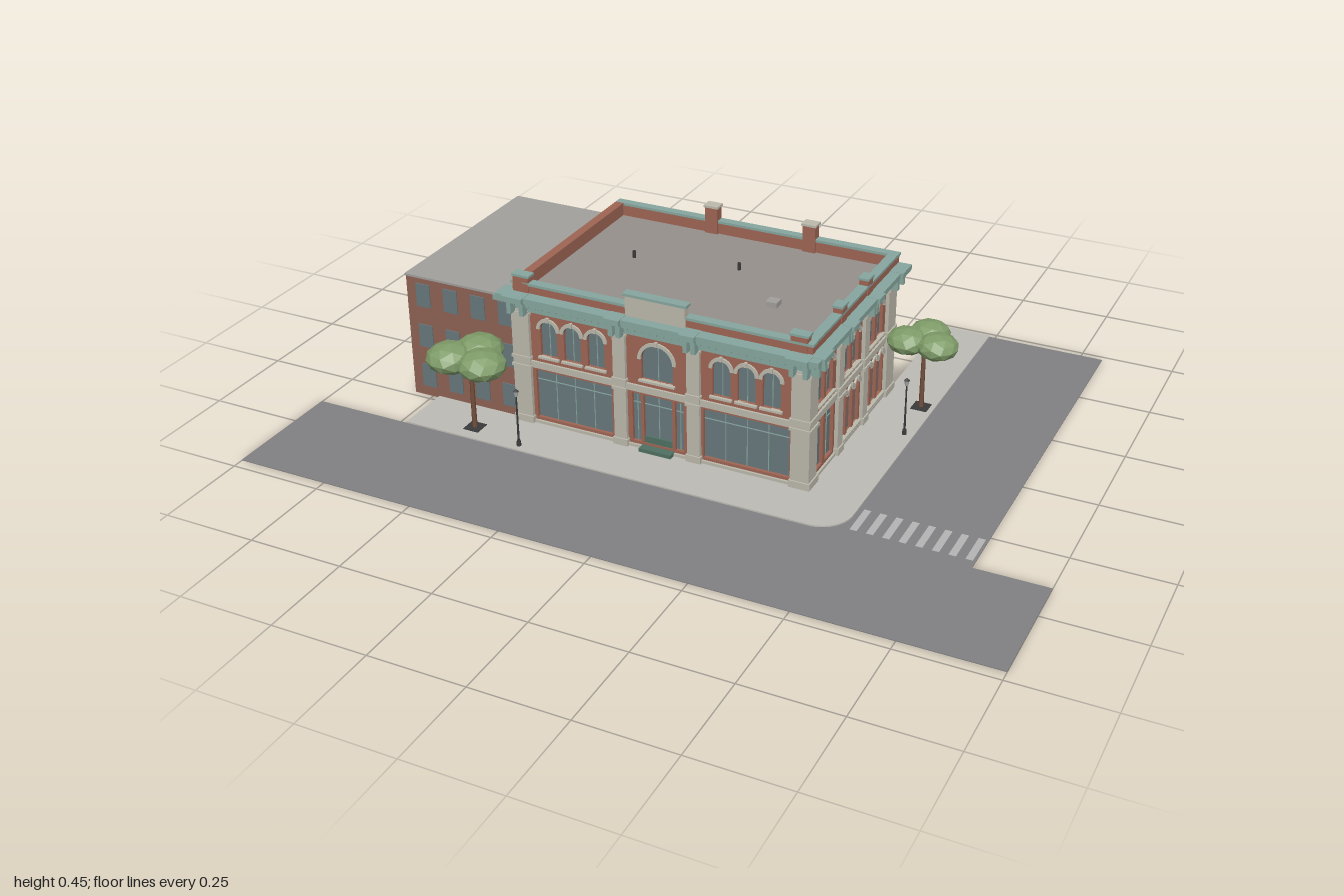
import * as THREE from 'three';

const mat = (color) => new THREE.MeshStandardMaterial({ color });
const M = {
  brick: mat(0x9e6553), sideBrick: mat(0x8c6153), stone: mat(0xbbb8ab), teal: mat(0x86a59e),
  glass: mat(0x68777b), door: mat(0x4f6f62), asphalt: mat(0x808082), paving: mat(0xbcbab4),
  paint: mat(0xb4b4b4), roof: mat(0x958f8b), sideRoof: mat(0xa09f9c), dark: mat(0x3a3a3a),
  trunk: mat(0x75513f), leaf: mat(0x7f9c69),
};
M.leaf.flatShading = true;

function add(parent, name, geo, material) {
  const mesh = new THREE.Mesh(geo, material);
  mesh.name = name;
  parent.add(mesh);
  return mesh;
}
// box given by its two extreme corners
function box(parent, name, material, x0, x1, y0, y1, z0, z1) {
  const m = add(parent, name, new THREE.BoxGeometry(x1 - x0, y1 - y0, z1 - z0), material);
  m.position.set((x0 + x1) / 2, (y0 + y1) / 2, (z0 + z1) / 2);
  return m;
}
function rod(parent, name, material, r0, r1, x, y0, y1, z, sides = 8) {
  add(parent, name, new THREE.CylinderGeometry(r1, r0, y1 - y0, sides), material).position.set(x, (y0 + y1) / 2, z);
}
const extrude = (shape, depth) => new THREE.ExtrudeGeometry(shape, { depth, bevelEnabled: false, curveSegments: 10 });

// rectangular or round-headed opening outline
function opening({ c, w, b, t, arch }) {
  const p = new THREE.Path();
  p.moveTo(c - w / 2, b);
  p.lineTo(c + w / 2, b);
  if (arch) p.absarc(c, t - w / 2, w / 2, 0, Math.PI, false);
  else { p.lineTo(c + w / 2, t); p.lineTo(c - w / 2, t); }
  p.closePath();
  return p;
}

// wall panel with openings, glass, mullions, sills and arch trims
function panel(parent, name, material, u0, u1, y0, y1, holes) {
  const s = new THREE.Shape([[u0, y0], [u1, y0], [u1, y1], [u0, y1]].map((p) => new THREE.Vector2(...p)));
  s.holes = holes.map(opening);
  add(parent, name, extrude(s, 0.012), material);
  for (const h of holes) {
    const { c, w, b, t, arch } = h;
    box(parent, 'windowGlass', M.glass, c - w / 2, c + w / 2, b, t, -0.001, 0.003);
    const bars = h.bars || 1;
    for (let i = 1; i <= bars; i++) {
      const u = c - w / 2 + (w * i) / (bars + 1);
      box(parent, 'mullion', M.teal, u - 0.001, u + 0.001, b, t, 0.003, 0.005);
    }
    if (!arch) {
      box(parent, 'transom', M.teal, c - w / 2, c + w / 2, t - 0.03, t - 0.028, 0.003, 0.005);
      continue;
    }
    const r = w / 2, y = t - r, ring = new THREE.Shape();
    ring.absarc(c, y, r + 0.009, 0, Math.PI, false);
    ring.absarc(c, y, r, Math.PI, 0, true);
    add(parent, 'archTrim', extrude(ring, 0.006), M.stone).position.z = 0.011;
    box(parent, 'keystone', M.stone, c - 0.004, c + 0.004, t, t + 0.012, 0.011, 0.02);
    box(parent, 'windowSill', M.stone, c - r - 0.006, c + r + 0.006, b - 0.006, b, 0.008, 0.02);
  }
}

// street facade: u runs along the wall, z points outward
function facade(name, piers, bays) {
  const g = new THREE.Group();
  g.name = name;
  const u0 = piers[0][0], u1 = piers[piers.length - 1][1];
  for (const [a, b] of piers) {
    box(g, 'stonePier', M.stone, a, b, 0, 0.33, -0.005, 0.022);
    box(g, 'pierBase', M.stone, a - 0.003, b + 0.003, 0, 0.025, 0, 0.026);
    for (const y of [0.165, 0.19, 0.315])
      box(g, 'pierBand', M.stone, a - 0.003, b + 0.003, y, y + 0.008, 0, 0.026);
    for (const u of [a + 0.007, b - 0.007])
      box(g, 'corniceBracket', M.teal, u - 0.006, u + 0.006, 0.322, 0.362, 0.01, 0.043);
    box(g, 'corniceBreak', M.teal, a - 0.004, b + 0.004, 0.362, 0.377, 0, 0.058);
  }
  bays.forEach((bay, i) => {
    const a = piers[i][1], b = piers[i + 1][0];
    panel(g, 'upperBay', M.brick, a, b, 0.185, 0.33,
      bay.top.map((c) => ({ c, w: bay.w, b: 0.205, t: 0.305, arch: true })));
    panel(g, 'lowerBay', M.brick, a, b, 0.012, 0.168, bay.low);
    box(g, 'floorBand', M.stone, a, b, 0.168, 0.186, 0, 0.018);
    box(g, 'baseCourse', M.stone, a, b, 0, 0.014, 0, 0.018);
  });
  // cornice mouldings with dentils
  box(g, 'frieze', M.teal, u0, u1, 0.326, 0.348, 0, 0.02);
  const n = Math.round((u1 - u0) / 0.02);
  for (let i = 0; i < n; i++) {
    const u = u0 + ((i + 0.5) * (u1 - u0)) / n;
    box(g, 'dentil', M.teal, u - 0.005, u + 0.005, 0.34, 0.35, 0.015, 0.028);
  }
  return g;
}

function tree(x, z, h, s) {
  const g = new THREE.Group();
  g.name = 'tree';
  g.position.set(x, 0, z);
  rod(g, 'trunk', M.trunk, 0.007, 0.005, 0, 0, h, 0, 6);
  box(g, 'treeGrate', M.dark, -0.022, 0.022, 0.005, 0.008, -0.022, 0.022);
  [[0, -0.045], [-0.047, 0.018], [0.047, 0.018]].forEach(([dx, dz], i) => {
    const crown = add(g, 'crown', new THREE.IcosahedronGeometry(0.064 * s, 1), M.leaf);
    crown.scale.y = 0.62;
    crown.rotation.y = i * 1.3;
    crown.position.set(dx * s, h + (i ? 0 : 0.004), dz * s);
  });
  return g;
}

function lamp(x, z) {
  const g = new THREE.Group();
  g.name = 'streetLamp';
  rod(g, 'lampBase', M.dark, 0.007, 0.005, x, 0.005, 0.02, z);
  rod(g, 'lampPost', M.dark, 0.003, 0.002, x, 0.02, 0.148, z);
  rod(g, 'lampGlobe', M.paint, 0.004, 0.007, x, 0.148, 0.162, z, 6);
  rod(g, 'lampCap', M.dark, 0.008, 0.002, x, 0.162, 0.168, z, 6);
  return g;
}

function ground(g) {
  const flat = (name, s, h, m) => { add(g, name, extrude(s, h), m).rotation.x = -Math.PI / 2; };
  const road = new THREE.Shape();
  [[-1, -0.72], [1, -0.72], [1, -0.387], [0.81, -0.387], [0.81, 0.73], [0.485, 0.73]]
    .forEach(([x, y], i) => (i ? road.lineTo(x, y) : road.moveTo(x, y)));
  road.absarc(0.4, -0.302, 0.085, 0, -Math.PI / 2, true);
  road.lineTo(-1, -0.387);
  flat('road', road, 0.002, M.asphalt);
  const walk = new THREE.Shape();
  [[0.34, 0.73], [0.34, -0.235], [-0.73, -0.235], [-0.73, -0.387]]
    .forEach(([x, y], i) => (i ? walk.lineTo(x, y) : walk.moveTo(x, y)));
  walk.absarc(0.4, -0.302, 0.085, -Math.PI / 2, 0, false);
  walk.lineTo(0.485, 0.73);
  flat('sidewalk', walk, 0.006, M.paving);
  for (let i = 0; i < 8; i++)
    box(g, 'crosswalkStripe', M.paint, 0.498 + i * 0.041, 0.516 + i * 0.041, 0.001, 0.003, 0.265, 0.36);
}

export function createModel() {
  const g = new THREE.Group();
  g.name = 'cornerBuilding';
  ground(g);

  // main block and its roof
  box(g, 'mainWalls', M.brick, -0.475, 0.322, 0, 0.362, -0.325, 0.228);
  box(g, 'mainRoof', M.roof, -0.46, 0.322, 0.36, 0.366, -0.315, 0.228);

  const shop = (c, w, bars) => ({ c, w, b: 0.022, t: 0.16, bars });
  const front = facade('frontFacade',
    [[-0.48, -0.43], [-0.19, -0.155], [0.015, 0.05], [0.295, 0.345]],
    [{ top: [-0.378, -0.31, -0.242], w: 0.048, low: [shop(-0.31, 0.22, 3)] },
      { top: [-0.07], w: 0.088, low: [shop(-0.13, 0.024, 0), shop(-0.07, 0.08, 1), shop(-0.01, 0.024, 0)] },
      { top: [0.106, 0.173, 0.24], w: 0.048, low: [shop(0.1725, 0.232, 3)] }]);
  front.position.z = 0.228;
  box(front, 'doorKickPanel', M.door, -0.11, -0.03, 0.014, 0.04, 0, 0.01);
  box(front, 'doorStep', M.door, -0.115, -0.025, 0, 0.016, 0, 0.035);
  g.add(front);

  const arcade = (m) => [-0.044, 0, 0.044].map((d) => ({ c: m + d, w: 0.032, b: 0.024, t: 0.152, arch: true }));
  const side = facade('rightFacade',
    [[-0.25, -0.2], [-0.065, -0.033], [0.105, 0.137], [0.27, 0.325]],
    [{ top: [-0.16, -0.106], w: 0.04, low: [shop(-0.165, 0.05, 1), shop(-0.1, 0.05, 1)] },
      { top: [0.009, 0.063], w: 0.04, low: arcade(0.036) },
      { top: [0.177, 0.231], w: 0.04, low: arcade(0.2035) }]);
  side.rotation.y = Math.PI / 2;
  side.position.x = 0.323;
  g.add(side);

  // projecting cornice, wrapping the street corner
  [[0.348, 0.362, 0.262, 0.358], [0.362, 0.376, 0.276, 0.374]].forEach(([y0, y1, z, x]) => {
    box(g, 'frontCornice', M.teal, x - 0.882, x, y0, y1, 0.22, z);
    box(g, 'rightCornice', M.teal, 0.31, x, y0, y1, -0.33, 0.22);
  });

  // parapet walls and copings
  const parapet = (x0, x1, z0, z1, cap) => {
    box(g, 'parapet', M.brick, x0, x1, 0.35, 0.397, z0, z1);
    box(g, 'coping', cap, x0 - 0.003, x1 + 0.003, 0.397, 0.404, z0 - 0.003, z1 + 0.003);
  };
  parapet(-0.475, 0.345, 0.222, 0.242, M.teal);
  parapet(-0.475, 0.345, -0.33, -0.312, M.teal);
  parapet(0.324, 0.344, -0.312, 0.222, M.teal);
  parapet(-0.475, -0.457, -0.312, 0.222, M.brick);
  for (const x of [-0.45, 0.31]) {
    box(g, 'parapetPier', M.brick, x - 0.022, x + 0.022, 0.37, 0.418, 0.22, 0.245);
    box(g, 'pierCap', M.teal, x - 0.025, x + 0.025, 0.418, 0.424, 0.218, 0.247);
  }
  for (const z of [0.05, -0.122]) {
    box(g, 'parapetPier', M.brick, 0.322, 0.347, 0.37, 0.418, z - 0.016, z + 0.016);
    box(g, 'pierCap', M.teal, 0.32, 0.349, 0.418, 0.424, z - 0.019, z + 0.019);
  }
  box(g, 'parapetTablet', M.stone, -0.152, 0.012, 0.376, 0.43, 0.228, 0.248);
  box(g, 'tabletCap', M.teal, -0.157, 0.017, 0.43, 0.437, 0.225, 0.251);
  for (const x of [-0.185, 0.1]) {
    box(g, 'chimney', M.brick, x - 0.018, x + 0.018, 0.36, 0.44, -0.332, -0.305);
    box(g, 'chimneyCap', M.stone, x - 0.021, x + 0.021, 0.44, 0.446, -0.335, -0.302);
  }

  // roof fittings
  rod(g, 'roofVent', M.dark, 0.005, 0.005, -0.3, 0.364, 0.385, -0.08);
  rod(g, 'roofVent', M.dark, 0.005, 0.005, -0.02, 0.364, 0.385, -0.13);
  box(g, 'roofHatch', M.sideRoof, 0.13, 0.16, 0.364, 0.38, 0.006, 0.036);

  // rear windows
  for (const x of [0.21, 0.015, -0.18, -0.36])
    for (const y of [0.075, 0.255]) {
      box(g, 'rearWindow', M.glass, x - 0.016, x + 0.016, y - 0.033, y + 0.033, -0.328, -0.32);
      box(g, 'rearSill', M.stone, x - 0.02, x + 0.02, y - 0.039, y - 0.033, -0.332, -0.32);
    }

  // neighbouring block
  box(g, 'sideBlockWalls', M.sideBrick, -0.805, -0.476, 0, 0.347, -0.328, 0.234);
  box(g, 'sideBlockRoof', M.sideRoof, -0.807, -0.476, 0.347, 0.353, -0.33, 0.237);
  for (let i = 0; i < 4; i++)
    for (const y of [0.062, 0.18, 0.298]) {
      const x = -0.755 + i * 0.083;
      box(g, 'sideBlockWindow', M.glass, x - 0.021, x + 0.021, y - 0.033, y + 0.033, 0.23, 0.237);
    }

  g.add(tree(-0.555, 0.335, 0.208, 1), tree(0.45, -0.26, 0.202, 0.87));
  g.add(lamp(-0.405, 0.365), lamp(0.46, -0.108));
  return g;
}
